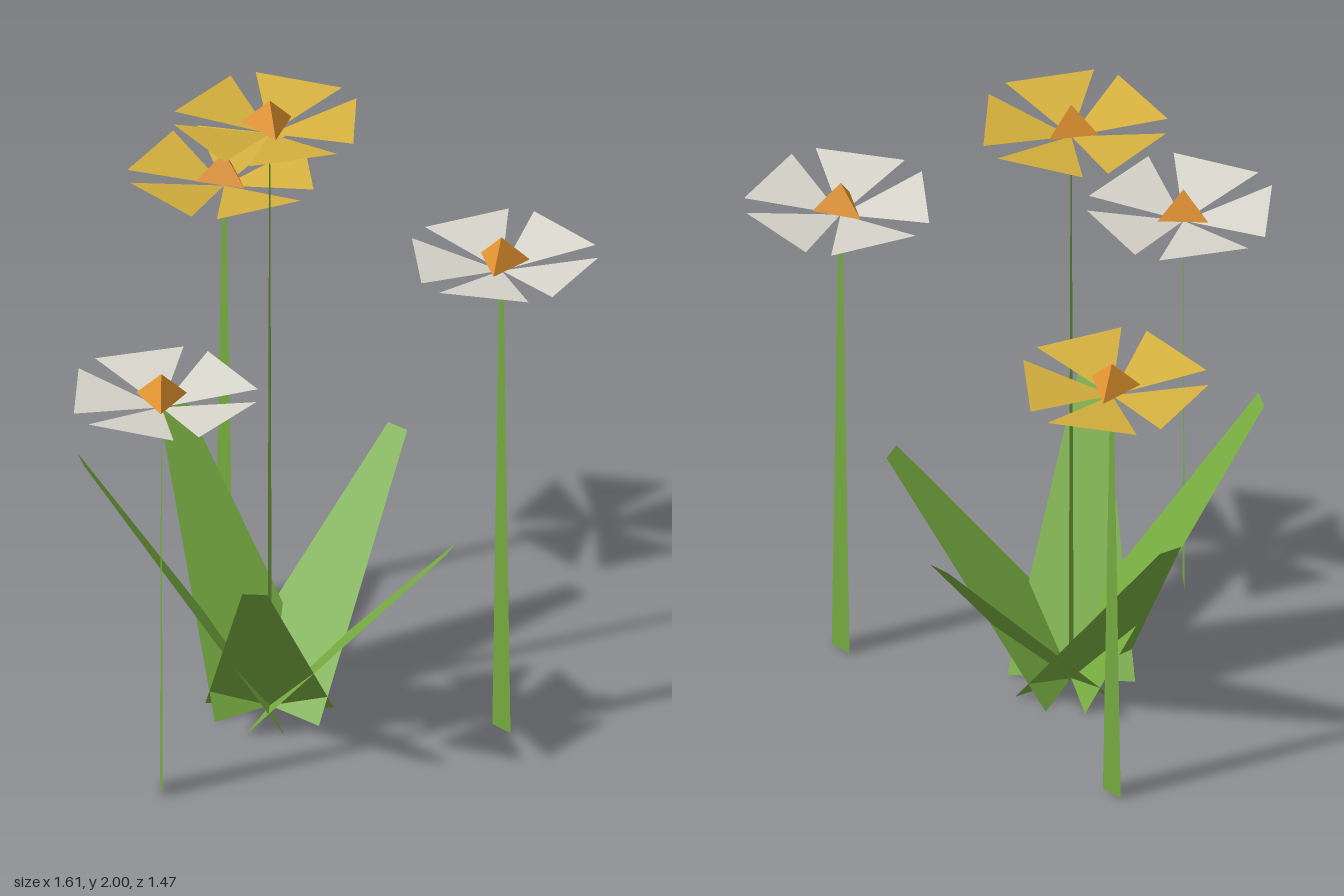
import * as THREE from 'three';

const flat = (name, color) => {
  const m = new THREE.MeshStandardMaterial({ color, flatShading: true, side: THREE.DoubleSide });
  m.name = name;
  return m;
};

// Flat shape from a list of triangles, each given as three [x, y, z] points
function facets(name, triangles, material) {
  const g = new THREE.BufferGeometry();
  g.setAttribute('position', new THREE.Float32BufferAttribute(triangles.flat(2), 3));
  g.computeVertexNormals();
  const mesh = new THREE.Mesh(g, material);
  mesh.name = name;
  return mesh;
}

// Tapering flat blade from base to tip; angle sets the level width direction (from +x towards +z)
function blade(name, base, tip, angle, baseHalf, tipHalf, material) {
  const side = (p, w) => [p[0] + Math.cos(angle) * w, p[1], p[2] + Math.sin(angle) * w];
  const a = side(base, -baseHalf), b = side(base, baseHalf);
  const c = side(tip, tipHalf), d = side(tip, -tipHalf);
  return facets(name, [[a, b, c], [a, c, d]], material);
}

// Five shallowly cupped petals around a three-sided centre
function flower(name, petalMaterial, centreMaterial) {
  const group = new THREE.Group();
  group.name = name;
  const radius = 0.278, lift = 0.047, half = THREE.MathUtils.degToRad(28.3);
  for (let i = 0; i < 5; i++) {
    const mid = THREE.MathUtils.degToRad(20 + i * 72);
    const corner = (t) => [Math.cos(t) * radius, lift, Math.sin(t) * radius];
    group.add(facets('petal', [[[0, 0, 0], corner(mid + half), corner(mid - half)]], petalMaterial));
  }
  const height = 0.085;
  const centre = new THREE.Mesh(
    new THREE.ConeGeometry(0.084, height, 3, 1, false, Math.PI / 2), centreMaterial);
  centre.name = 'flowerCentre';
  centre.position.y = 0.11 - height / 2;
  group.add(centre);
  return group;
}

export function createModel() {
  const green = flat('leaf green', 0x76ab40);
  const yellow = flat('petal yellow', 0xd6b13e);
  const white = flat('petal white', 0xd8d6cc);
  const orange = flat('centre orange', 0xe2932f);

  const model = new THREE.Group();
  model.name = 'flowerClump';

  // Leaves fan out from one root point
  const root = [-0.03, 0, -0.1];
  const tips = [
    [-0.078, 0.675, -0.668], [-0.32, 0.89, 0.378], [0.335, 0.685, 0.325],
    [0.487, 0.637, -0.32], [-0.578, 0.78, -0.228],
  ];
  for (const tip of tips) {
    const across = Math.atan2(tip[2] - root[2], tip[0] - root[0]) + Math.PI / 2;
    model.add(blade('leaf', root, tip, across, 0.185, 0.036, green));
  }

  // Flowers floating just above their stems: x, z, base height, turn, stem angle (degrees)
  const flowers = [
    ['yellowFlower', yellow, -0.03, -0.1, 1.89, 153, 55],
    ['yellowFlower', yellow, -0.532, -0.417, 1.388, 1, 0],
    ['whiteFlower', white, 0.535, -0.476, 1.514, 181, 0],
    ['whiteFlower', white, 0.095, 0.465, 1.264, 46, 39],
  ];
  for (const [name, petals, x, z, y, turn, stemAngle] of flowers) {
    const head = flower(name, petals, orange);
    head.position.set(x, y, z);
    head.rotation.y = -THREE.MathUtils.degToRad(turn);
    model.add(head);
    model.add(blade('stem', [x, 0, z], [x, y - 0.065, z],
      THREE.MathUtils.degToRad(stemAngle), 0.037, 0.009, green));
  }
  return model;
}
